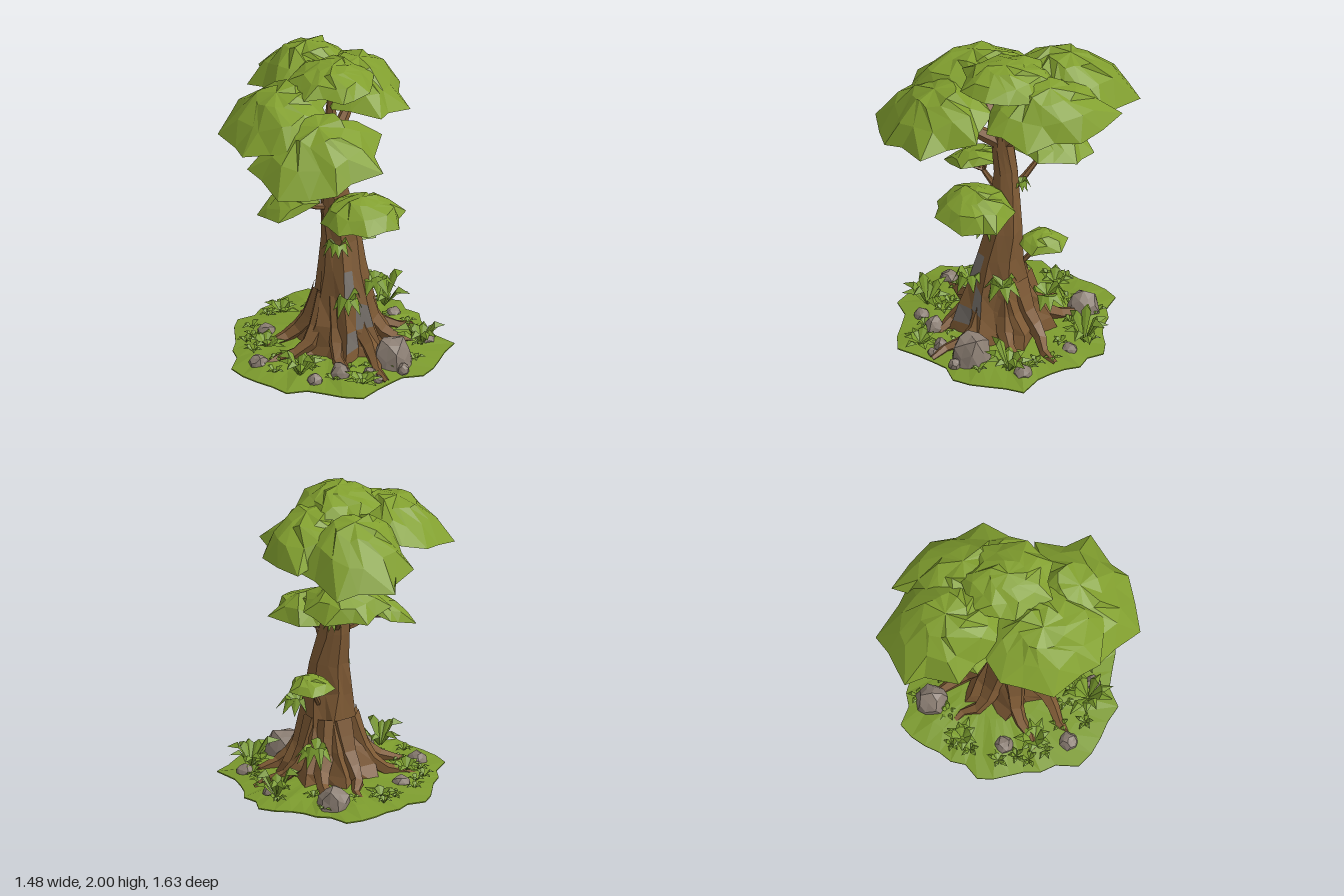
import * as THREE from 'three';

const paint = (name, color, side = THREE.FrontSide) => {
  const m = new THREE.MeshStandardMaterial({ color, side });
  m.name = name;
  return m;
};

function seeded(seed) {
  let s = seed * 7919 + 17;
  return () => { s = (s * 16807) % 2147483647; return s / 2147483647; };
}

const V = (x, y, z) => new THREE.Vector3(x, y, z);

// Faceted skin over rings listed from top to bottom; pick chooses a material index per panel
function loft(rings, pick = () => 0) {
  const lists = [[], []];
  for (let i = 0; i < rings.length - 1; i++) {
    const a = rings[i], b = rings[i + 1], n = a.length;
    for (let j = 0; j < n; j++) {
      const k = (j + 1) % n;
      for (const t of [[a[j], a[k], b[j]], [a[k], b[k], b[j]]]) {
        if (t[0].equals(t[1]) || t[1].equals(t[2]) || t[0].equals(t[2])) continue;
        t.forEach(p => lists[pick(i, j)].push(p.x, p.y, p.z));
      }
    }
  }
  const g = new THREE.BufferGeometry();
  g.setAttribute('position', new THREE.Float32BufferAttribute(lists.flat(), 3));
  g.addGroup(0, lists[0].length / 3, 0);
  g.addGroup(lists[0].length / 3, lists[1].length / 3, 1);
  g.computeVertexNormals();
  return g;
}

// Tapered, faceted tube for branches, twigs and roots
function limb(points, r0, r1, sides = 6, segs = 5) {
  const curve = new THREE.CatmullRomCurve3(points);
  const g = new THREE.TubeGeometry(curve, segs, 1, sides);
  const p = g.attributes.position, v = new THREE.Vector3();
  for (let i = 0; i < p.count; i++) {
    const t = Math.floor(i / (sides + 1)) / segs, c = curve.getPointAt(t);
    v.fromBufferAttribute(p, i).sub(c).multiplyScalar(r0 + (r1 - r0) * t).add(c);
    p.setXYZ(i, v.x, Math.max(v.y, 0.008), v.z);
  }
  const flat = g.toNonIndexed();
  flat.computeVertexNormals();
  return flat;
}

// Umbrella of leaves: jagged rim, domed top, hollow underside, tilted by slopes sx and sz
function canopy({ x, z, rx, rz, rim, top, sx = 0, sz = 0 }, seed) {
  const rnd = seeded(seed), h = top - rim, n = rx > 0.25 ? 14 : 10;
  const profile = [[0, 1], [0.38, 0.88], [0.72, 0.52], [1, 0], [0.74, 0.12], [0, 0.4]];
  return loft(profile.map(([t, f], i) => Array.from({ length: n }, (_, j) => {
    if (t === 0) return V(x, rim + h * f, z);
    const a = (j + (rnd() - 0.5) * 0.6 + (i % 2) * 0.5) / n * Math.PI * 2;
    const r = t * (i === 3 ? (j % 2 ? 1.08 : 0.92) + (rnd() - 0.5) * 0.14 : 1 + (rnd() - 0.5) * 0.2);
    const dx = Math.cos(a) * r * rx, dz = Math.sin(a) * r * rz;
    return V(x + dx, rim + h * f + (rnd() - 0.5) * h * 0.2 + sx * dx + sz * dz, z + dz);
  })));
}

// Trunk sections: y, centre x, centre z, radius x, radius z
const TRUNK = [
  [1.48, -0.045, 0.07, 0.045, 0.05], [1.38, -0.045, 0.07, 0.064, 0.07],
  [1.2, -0.02, 0.06, 0.073, 0.077], [1.0, 0, 0.07, 0.1, 0.09],
  [0.8, 0.03, 0.09, 0.122, 0.105], [0.6, 0.03, 0.115, 0.145, 0.138],
  [0.4, 0.04, 0.13, 0.17, 0.185], [0.25, 0.03, 0.12, 0.21, 0.235],
  [0.12, 0.03, 0.1, 0.26, 0.28], [0.005, 0.03, 0.1, 0.3, 0.32]];

// Chunky bark with folds that deepen toward the base; a few panels at the front are grey
function trunkGeometry() {
  const n = 14, rnd = seeded(5);
  const rings = TRUNK.map(([y, cx, cz, rx, rz], i) => Array.from({ length: n }, (_, j) => {
    const a = (j + (rnd() - 0.5) * 0.5) / n * Math.PI * 2, fold = 0.03 + 0.0018 * i * i;
    const k = 1 + fold * (j % 2 ? -1 : 1) + (rnd() - 0.5) * 0.06;
    return V(cx + Math.cos(a) * rx * k, y + (i ? (rnd() - 0.5) * 0.04 * (i < 9) : 0), cz + Math.sin(a) * rz * k);
  }));
  const grey = ['5,3', '6,2', '7,3'];
  return loft(rings, (i, j) => (grey.includes(i + ',' + j) ? 1 : 0));
}

// Rosette of folded, arching blades; tipY is the height of the tips relative to the crest
function fern(n, len, rise, width, tipY, seed) {
  const rnd = seeded(seed), pos = [];
  for (let i = 0; i < n; i++) {
    const a = (i + rnd() * 0.6) / n * Math.PI * 2, l = len * (0.75 + rnd() * 0.4), u = rise * (0.5 + rnd() * 0.6);
    const at = (t, y, w) => V(Math.cos(a) * l * t - Math.sin(a) * w, y, Math.sin(a) * l * t + Math.cos(a) * w);
    const base = at(0, 0, 0), mid = at(0.55, u, 0), tip = at(1, u * tipY, 0);
    const L = at(0.5, u * 0.8, width), R = at(0.5, u * 0.8, -width);
    for (const p of [base, L, mid, base, mid, R, mid, L, tip, mid, tip, R]) pos.push(p.x, p.y, p.z);
  }
  const g = new THREE.BufferGeometry();
  g.setAttribute('position', new THREE.Float32BufferAttribute(pos, 3));
  g.computeVertexNormals();
  return g;
}

// Chipped boulder resting on the ground
function rockGeometry(w, h, seed) {
  const g = new THREE.IcosahedronGeometry(1, 1), p = g.attributes.position, v = new THREE.Vector3();
  for (let i = 0; i < p.count; i++) {
    v.fromBufferAttribute(p, i);
    const k = 1 + 0.13 * Math.sin(v.x * 5 + seed * 2) * Math.cos(v.z * 4 + v.y * 3 + seed);
    p.setXYZ(i, v.x * w * k, Math.max(v.y * h * k, -0.015), v.z * w * k);
  }
  g.computeVertexNormals();
  return g;
}

export function createModel() {
  const root = new THREE.Group();
  root.name = 'tree';
  const bark = paint('bark', 0x7d5934), greyBark = paint('greyBark', 0x77716b);
  const leaf = paint('leaf', 0x82a02f), grass = paint('grass', 0x7b9a2d);
  const frond = paint('frond', 0x7a9c2e, THREE.DoubleSide);
  const stone = paint('stone', 0x8a7d72);
  const add = (name, geo, mat, parent = root) => {
    const m = new THREE.Mesh(geo, mat);
    m.name = name;
    parent.add(m);
    return m;
  };
  const group = name => { const g = new THREE.Group(); g.name = name; root.add(g); return g; };

  // Ground: mounded turf disc, outline given as radii at equal angles from +x toward +z, with ragged points between
  const reach = [0.6, 0.76, 0.72, 0.74, 0.68, 0.8, 0.72, 0.77, 0.74, 0.75, 0.65, 0.62, 0.65, 0.6, 0.62, 0.67, 0.58, 0.56, 0.65, 0.63];
  const outline = reach.flatMap((r, j) => [r, (r + reach[(j + 1) % reach.length]) / 2 - 0.045 + (j % 3) * 0.025]);
  const turf = [[0, 0.06], [0.4, 0.055], [0.75, 0.035], [1, 0.008], [1, 0], [0, 0]];
  add('ground', loft(turf.map(([s, y], i) => outline.map((r, j) => {
    const a = j / outline.length * Math.PI * 2;
    return V(Math.cos(a) * r * s, y + (i === 2 ? (j % 3 - 1) * 0.008 : 0), Math.sin(a) * r * s);
  }))), grass);

  // Trunk and spreading buttress roots
  add('trunk', trunkGeometry(), [bark, greyBark]);
  const roots = group('roots');
  for (let i = 0; i < 8; i++) {
    const a = 0.3 + i * 0.785, bend = a + (i % 2 ? 0.18 : -0.14), len = 0.47 + 0.04 * Math.sin(i * 2.3);
    const at = (r, y, b = a) => V(0.02 + Math.cos(b) * r, y, 0.1 + Math.sin(b) * r);
    add('root', limb([at(0.1, 0.42), at(0.2, 0.2), at(0.31, 0.09), at(len * 0.86, 0.05, bend), at(len + 0.07, 0.015, bend)],
      0.09, 0.018, 5, 6), bark, roots);
  }

  // Leaf canopies; from is the trunk section where the carrying branch starts
  const crowns = [
    { x: -0.02, z: 0.06, rx: 0.26, rz: 0.3, rim: 1.88, top: 2.0, from: 1 },
    { x: -0.21, z: 0.47, rx: 0.41, rz: 0.34, rim: 1.55, top: 1.8, sx: 0.14, sz: -0.24, from: 1 },
    { x: -0.4, z: 0.13, rx: 0.32, rz: 0.4, rim: 1.69, top: 1.89, sx: 0.26, from: 1 },
    { x: -0.08, z: -0.4, rx: 0.36, rz: 0.39, rim: 1.67, top: 1.94, sz: 0.22, from: 1 },
    { x: 0.2, z: -0.15, rx: 0.28, rz: 0.43, rim: 1.7, top: 1.92, sx: -0.16, from: 1 },
    { x: -0.03, z: -0.25, rx: 0.27, rz: 0.25, rim: 1.31, top: 1.45, sz: 0.12, from: 3 },
    { x: -0.31, z: 0.16, rx: 0.2, rz: 0.18, rim: 1.1, top: 1.2, sx: 0.4, from: 3 },
    { x: 0.11, z: 0.32, rx: 0.26, rz: 0.25, rim: 1.02, top: 1.18, from: 4 },
    { x: 0.17, z: -0.11, rx: 0.14, rz: 0.16, rim: 0.7, top: 0.78, from: 6 }];
  const branches = group('branches'), leaves = group('canopies');
  crowns.forEach((c, i) => {
    const { x, z, rx, rz, rim, top, sx = 0, sz = 0, from } = c;
    const [y0, x0, z0] = TRUNK[from], main = from === 1, r = main ? 0.055 : 0.028;
    const start = V(x0, y0, z0), tip = V(x, rim + 0.02, z), mid = start.clone().lerp(tip, 0.45);
    mid.y += main ? 0.02 : -0.025;
    add('branch', limb([start, mid, tip], r, r * 0.35), bark, branches);
    add('canopy', canopy(c, i + 3), leaf, leaves);
    // Twigs fan out under the leaves
    const fork = mid.clone().lerp(tip, 0.45);
    for (let k = 0; k < 5; k++) {
      const a = k * 1.257 + i, dx = Math.cos(a) * rx * 0.55, dz = Math.sin(a) * rz * 0.55;
      const end = V(x + dx, rim + (top - rim) * 0.25 + sx * dx + sz * dz, z + dz);
      const knee = fork.clone().lerp(end, 0.55);
      knee.y -= 0.015;
      add('twig', limb([fork, knee, end], r * 0.4, 0.005, 4, 4), bark, branches);
    }
  });

  // Rocks: x, z, width, height
  const rocks = group('rocks');
  [[0.28, 0.41, 0.125, 0.18], [-0.08, 0.52, 0.065, 0.1], [-0.54, 0.24, 0.06, 0.06], [0.55, 0.17, 0.06, 0.05],
    [0.32, 0.54, 0.04, 0.05], [0.06, -0.43, 0.105, 0.13], [-0.4, -0.14, 0.06, 0.06], [0.43, -0.19, 0.05, 0.05],
    [0.14, 0.62, 0.03, 0.03], [-0.25, 0.54, 0.05, 0.05], [0.1, 0.55, 0.045, 0.06]].forEach(([x, z, w, h], i) => {
    const m = add('rock', rockGeometry(w, h, i + 1), stone, rocks);
    m.position.set(x, 0.025, z);
    m.rotation.y = i * 1.3;
  });

  // Ferns on the ground: x, z, length, rise
  const ferns = group('ferns');
  [[-0.33, 0.47, 0.18, 0.22], [0.51, 0.25, 0.18, 0.17], [0.03, 0.66, 0.12, 0.07], [0.4, -0.3, 0.16, 0.22],
    [-0.25, -0.36, 0.12, 0.08], [-0.45, 0.05, 0.13, 0.08]].forEach(([x, z, l, u], i) =>
    add('fern', fern(9, l, u, 0.032, 0.8, i + 2), frond, ferns).position.set(x, 0.03, z));

  // Drooping sprigs clinging to the trunk and roots: x, y, z, size
  const sprigs = group('sprigs');
  [[0.01, 0.43, 0.32, 0.12], [0.22, 0.47, 0.18, 0.13], [-0.02, 0.77, 0.19, 0.1],
    [0.03, 1.09, -0.02, 0.07], [0.14, 0.26, -0.15, 0.13]].forEach(([x, y, z, s], i) =>
    add('sprig', fern(9, s, s * 0.6, s * 0.3, -0.8, i + 20), frond, sprigs).position.set(x, y, z));

  // Grass tufts scattered over the turf
  const tufts = group('grassTufts'), rnd = seeded(9);
  for (let i = 0; i < 26; i++) {
    const a = i * 2.4, r = 0.38 + rnd() * 0.2;
    add('grassTuft', fern(5, 0.07, 0.045, 0.016, 0.6, i + 40), frond, tufts)
      .position.set(Math.cos(a) * r, 0.03, 0.06 + Math.sin(a) * r);
  }
  return root;
}
